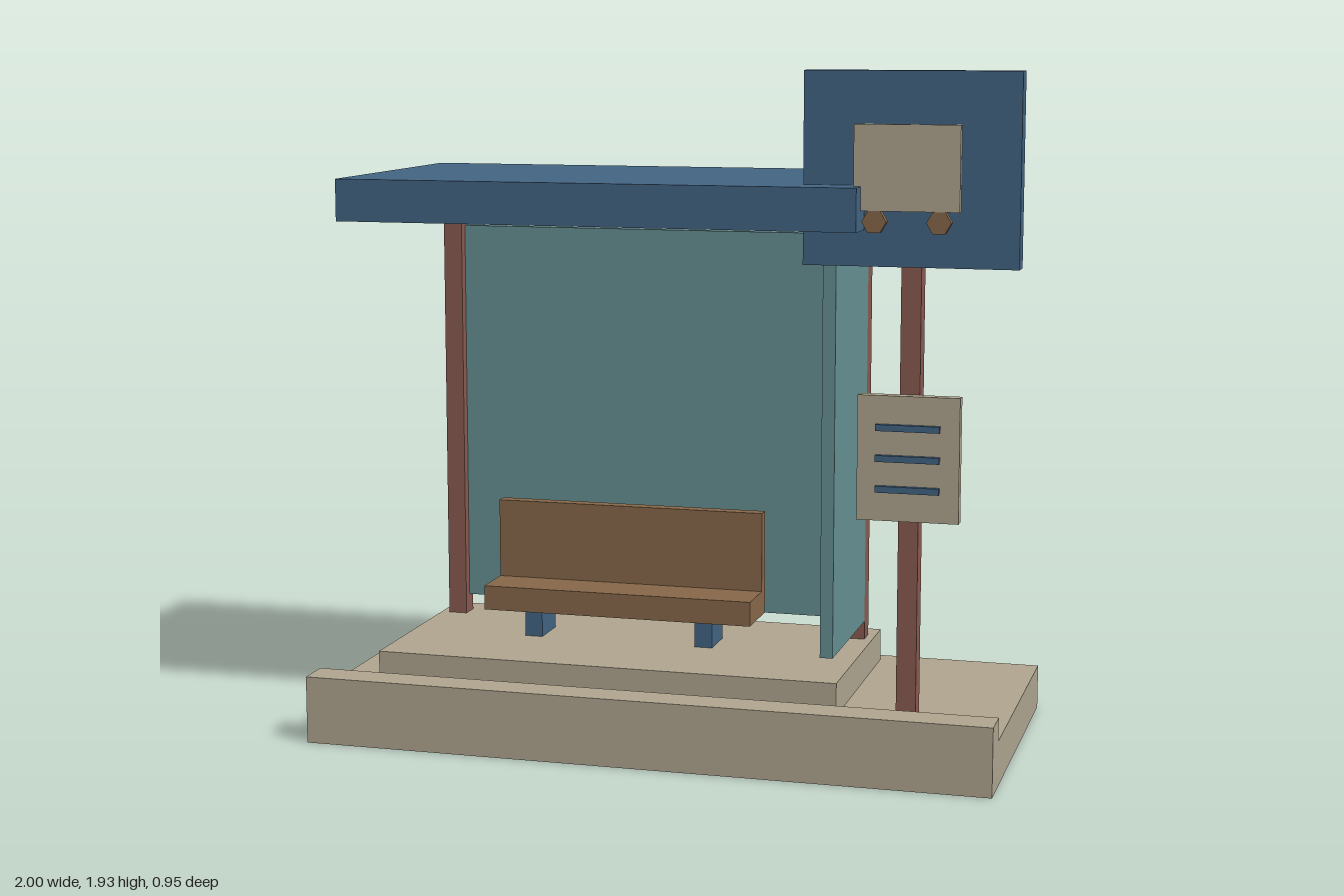
import * as THREE from 'three';

const material = (name, color) => {
  const m = new THREE.MeshStandardMaterial({ color });
  m.name = name;
  return m;
};

export function createModel() {
  const concrete = material('concrete', 0xb0a690);
  const blue = material('blue paint', 0x436583);
  const red = material('red steel', 0x8a5a52);
  const teal = material('teal glass', 0x669193);
  const wood = material('brown wood', 0x87684a);

  const model = new THREE.Group();
  model.name = 'busShelter';

  const group = (name) => {
    const g = new THREE.Group();
    g.name = name;
    model.add(g);
    return g;
  };

  // Box given by its lowest and highest coordinate on each axis
  const box = (parent, name, mat, [x0, x1], [y0, y1], [z0, z1]) => {
    const mesh = new THREE.Mesh(new THREE.BoxGeometry(x1 - x0, y1 - y0, z1 - z0), mat);
    mesh.position.set((x0 + x1) / 2, (y0 + y1) / 2, (z0 + z1) / 2);
    mesh.name = name;
    parent.add(mesh);
    return mesh;
  };

  // Pavement, kerb and raised floor
  const ground = group('pavement');
  box(ground, 'slab', concrete, [-1, 0.985], [0, 0.13], [-0.46, 0.37]);
  box(ground, 'kerb', concrete, [-1, 0.985], [0, 0.195], [0.37, 0.473]);
  box(ground, 'shelterFloor', concrete, [-0.865, 0.51], [0.13, 0.225], [-0.405, 0.25]);

  // Shelter: two rear posts, glass walls and roof
  const shelter = group('shelter');
  for (const x of [-0.84, 0.429]) {
    box(shelter, 'rearPost', red, [x, x + 0.057], [0.225, 1.5], [-0.33, -0.27]);
  }
  box(shelter, 'backGlass', teal, [-0.783, 0.429], [0.28, 1.44], [-0.335, -0.3]);
  box(shelter, 'sideGlass', teal, [0.449, 0.486], [0.28, 1.44], [-0.27, 0.19]);
  box(shelter, 'roof', blue, [-0.925, 0.575], [1.5, 1.62], [-0.475, 0.362]);

  // Bench
  const bench = group('bench');
  box(bench, 'seat', wood, [-0.63, 0.195], [0.305, 0.378], [-0.2, -0.015]);
  box(bench, 'backrest', wood, [-0.63, 0.195], [0.378, 0.615], [-0.2, -0.16]);
  for (const x of [-0.51, 0.019]) {
    box(bench, 'benchLeg', blue, [x, x + 0.053], [0.225, 0.305], [-0.17, -0.045]);
  }

  // Stop pole with its sign board
  const stop = group('stopSign');
  box(stop, 'pole', red, [0.672, 0.728], [0.13, 1.81], [0.15, 0.209]);
  box(stop, 'signBoard', blue, [0.405, 1], [1.4, 1.93], [0.19, 0.25]);

  // Vehicle symbol in front of the board
  box(stop, 'symbolBody', concrete, [0.555, 0.845], [1.555, 1.788], [0.28, 0.304]);
  for (const x of [0.612, 0.789]) {
    const wheel = new THREE.Mesh(new THREE.CylinderGeometry(0.034, 0.034, 0.026, 6), wood);
    wheel.geometry.rotateX(Math.PI / 2).rotateZ(Math.PI / 6);
    wheel.position.set(x, 1.526, 0.292);
    wheel.name = 'symbolWheel';
    wheel.material.flatShading = true;
    stop.add(wheel);
  }

  // Timetable with three raised lines
  box(stop, 'timetable', concrete, [0.56, 0.845], [0.695, 1.045], [0.207, 0.241]);
  for (const y of [0.785, 0.871, 0.957]) {
    box(stop, 'timetableLine', blue, [0.613, 0.791], [y - 0.009, y + 0.009], [0.238, 0.256]);
  }

  return model;
}
